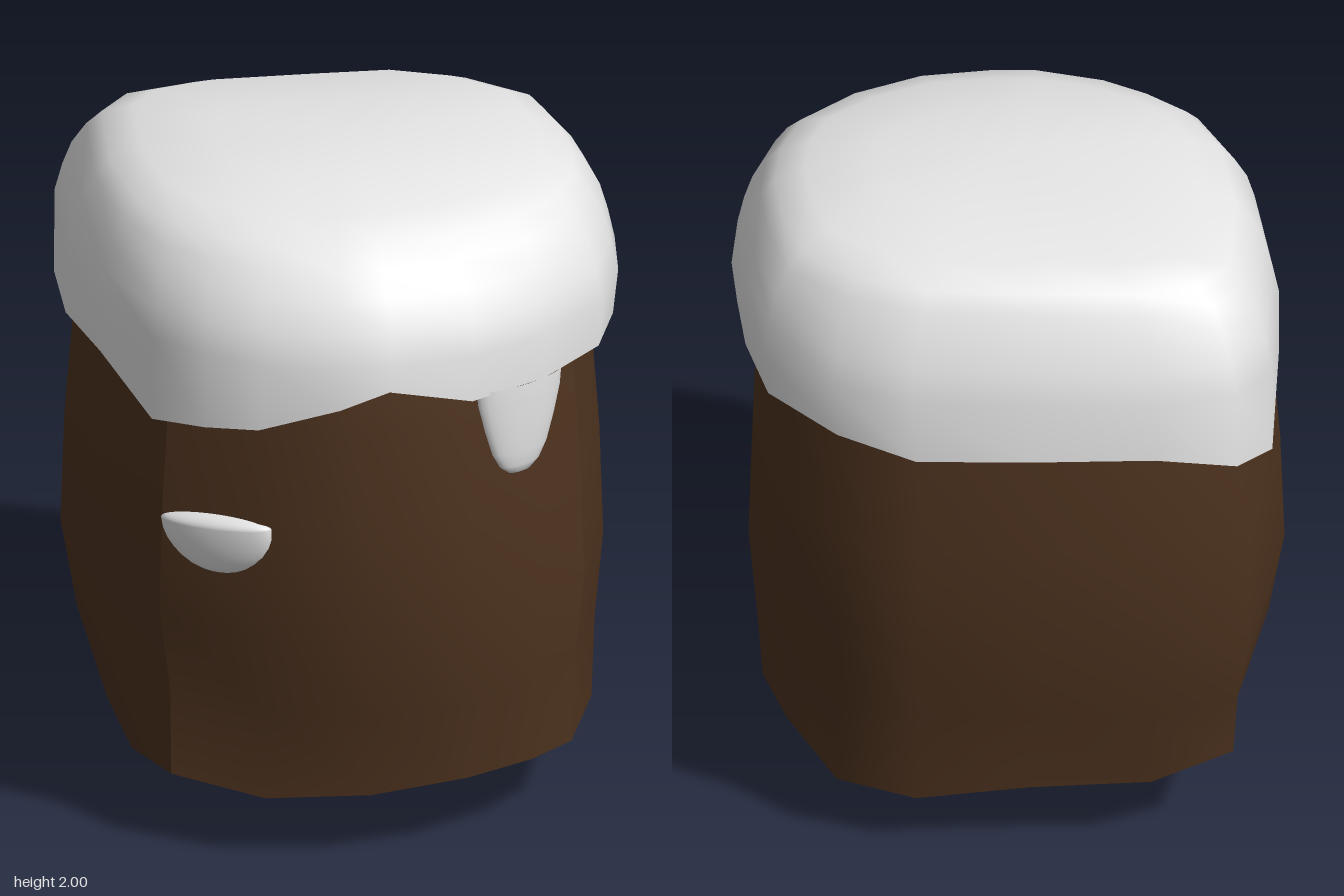
import * as THREE from 'three';
import { mergeVertices } from 'three/addons/utils/BufferGeometryUtils.js';

// Skin a list of rings (lowest first), each an equal-length list of [x, y, z]
function loft(rings, closed) {
  const n = rings[0].length, index = [];
  for (let r = 0; r < rings.length - 1; r++) {
    for (let i = 0; i < (closed ? n : n - 1); i++) {
      const j = (i + 1) % n, a = r * n + i, b = r * n + j;
      index.push(a, b, a + n, b, b + n, a + n);
    }
  }
  let g = new THREE.BufferGeometry();
  g.setAttribute('position', new THREE.Float32BufferAttribute(rings.flat(2), 3));
  g.setIndex(index);
  g = mergeVertices(g);
  g.computeVertexNormals();
  return g;
}

export function createModel() {
  const group = new THREE.Group();
  const brown = new THREE.MeshStandardMaterial({ color: 0x4e331f });
  brown.name = 'brown bark';
  const white = new THREE.MeshStandardMaterial({ color: 0xe6e6e6 });
  white.name = 'white snow';
  const add = (name, geometry, material) => {
    const m = new THREE.Mesh(geometry, material);
    m.name = name;
    group.add(m);
    return m;
  };

  // Trunk: four gently bowed sides meeting at creased corners.
  // Each point: [x, z] at the widest height, then [x, y, z] of the bottom rim
  const frontLeft = [-0.58, 0.43, -0.545, 0.235, 0.42];
  const frontRight = [0.63, 0.38, 0.6, 0.21, 0.345];
  const backRight = [0.66, -0.41, 0.63, 0.3, -0.37];
  const backLeft = [-0.67, -0.62, -0.62, 0.315, -0.575];
  const sides = {
    trunkFront: [frontLeft, [-0.33, 0.61, -0.3, 0.21, 0.56], [-0.04, 0.71, -0.01, 0.225, 0.615],
      [0.27, 0.67, 0.27, 0.24, 0.58], [0.49, 0.545, 0.47, 0.23, 0.475], frontRight],
    trunkRight: [frontRight, [0.72, 0.15, 0.69, 0.235, 0.13], [0.73, -0.12, 0.69, 0.26, -0.12], backRight],
    trunkBack: [backRight, [0.49, -0.6, 0.49, 0.205, -0.54], [0.27, -0.69, 0.27, 0.187, -0.61],
      [-0.05, -0.7, -0.05, 0.225, -0.615], [-0.4, -0.71, -0.39, 0.24, -0.615], backLeft],
    trunkLeft: [backLeft, [-0.77, -0.16, -0.64, 0.195, -0.14], [-0.72, 0.18, -0.62, 0.2, 0.18], frontLeft],
  };
  // Levels: [y, x scale, z scale, x shift]
  const levels = [[0.49, 0.955, 0.915, 0.01], [0.76, 1, 1, 0], [1.1, 0.985, 0.995, 0],
    [1.4, 0.955, 0.98, 0], [1.6, 0.93, 0.94, 0]];
  const rim = (p) => p.slice(2);
  for (const [name, plan] of Object.entries(sides)) {
    const rings = levels.map(([y, sx, sz, dx]) => plan.map(([x, z]) => [x * sx + dx, y, z * sz]));
    add(name, loft([plan.map(rim), ...rings], false), brown);
  }

  // Underside: every rim point runs down to the nearest point of a keel along x
  const keelPoints = [[-0.38, 0.06, 0], [-0.05, 0.028, 0], [0.25, 0, 0], [0.46, 0.04, 0]];
  const rimRing = Object.values(sides).flatMap((plan) => plan.slice(0, -1)).map(rim);
  const keel = rimRing.map(([x]) =>
    keelPoints.reduce((a, b) => (Math.abs(b[0] - x) < Math.abs(a[0] - x) ? b : a)));
  add('trunkUnderside', loft([keel, rimRing], true), brown);

  // Snow cap outline with its wavy lower edge; [x, z, edge y]
  const cap = [
    [-0.6, 0.42, 1.36], [-0.47, 0.54, 1.385], [-0.33, 0.63, 1.41], [-0.11, 0.7, 1.49],
    [0.03, 0.705, 1.54], [0.27, 0.67, 1.475], [0.49, 0.56, 1.475], [0.67, 0.39, 1.475],
    [0.74, 0.2, 1.475], [0.76, 0, 1.475], [0.74, -0.2, 1.475], [0.68, -0.43, 1.475],
    [0.49, -0.595, 1.45], [0.27, -0.685, 1.42], [-0.05, -0.7, 1.425], [-0.4, -0.71, 1.435],
    [-0.63, -0.66, 1.375], [-0.73, -0.54, 1.345], [-0.755, -0.16, 1.41], [-0.71, 0.18, 1.46],
  ];
  // Cap levels: [y, x scale, front z scale, back z scale]
  const capLevels = [[1.61, 1.01, 0.985, 0.975], [1.7, 0.985, 0.945, 0.935], [1.78, 0.955, 0.87, 0.885],
    [1.85, 0.905, 0.79, 0.83], [1.9, 0.85, 0.71, 0.78], [1.945, 0.74, 0.57, 0.67],
    [1.98, 0.48, 0.32, 0.36], [2, 0, 0, 0]];
  const capRings = capLevels.map(([y, sx, front, back]) =>
    cap.map(([x, z]) => [x * sx + 0.008, y, z * (z > 0 ? front : back)]));
  add('snowCap', loft([cap.map(([x, z, y]) => [x, y, z]), ...capRings], true), white);

  // Tapered drip hanging below the cap at the front
  const dripProfile = [[0, -0.285], [0.035, -0.28], [0.065, -0.255], [0.09, -0.21], [0.115, -0.13],
    [0.135, -0.05], [0.14, 0]].map(([r, y]) => new THREE.Vector2(r, y));
  const drip = add('snowDrip', new THREE.LatheGeometry(dripProfile, 24), white);
  drip.scale.set(1.06, 1, 0.33);
  drip.position.set(0.417, 1.48, 0.56);
  drip.rotation.set(-0.06, 0.52, 0);

  // Small snow patch: rounded below, nearly flat on top
  const patchGeometry = new THREE.SphereGeometry(1, 24, 16);
  const p = patchGeometry.attributes.position;
  for (let i = 0; i < p.count; i++) if (p.getY(i) > 0) p.setY(i, p.getY(i) * 0.2);
  patchGeometry.computeVertexNormals();
  const patch = add('snowPatch', patchGeometry, white);
  patch.scale.set(0.175, 0.155, 0.05);
  patch.position.set(-0.432, 1.07, 0.517);
  patch.rotation.set(0, -0.63, 0.1);

  return group;
}
